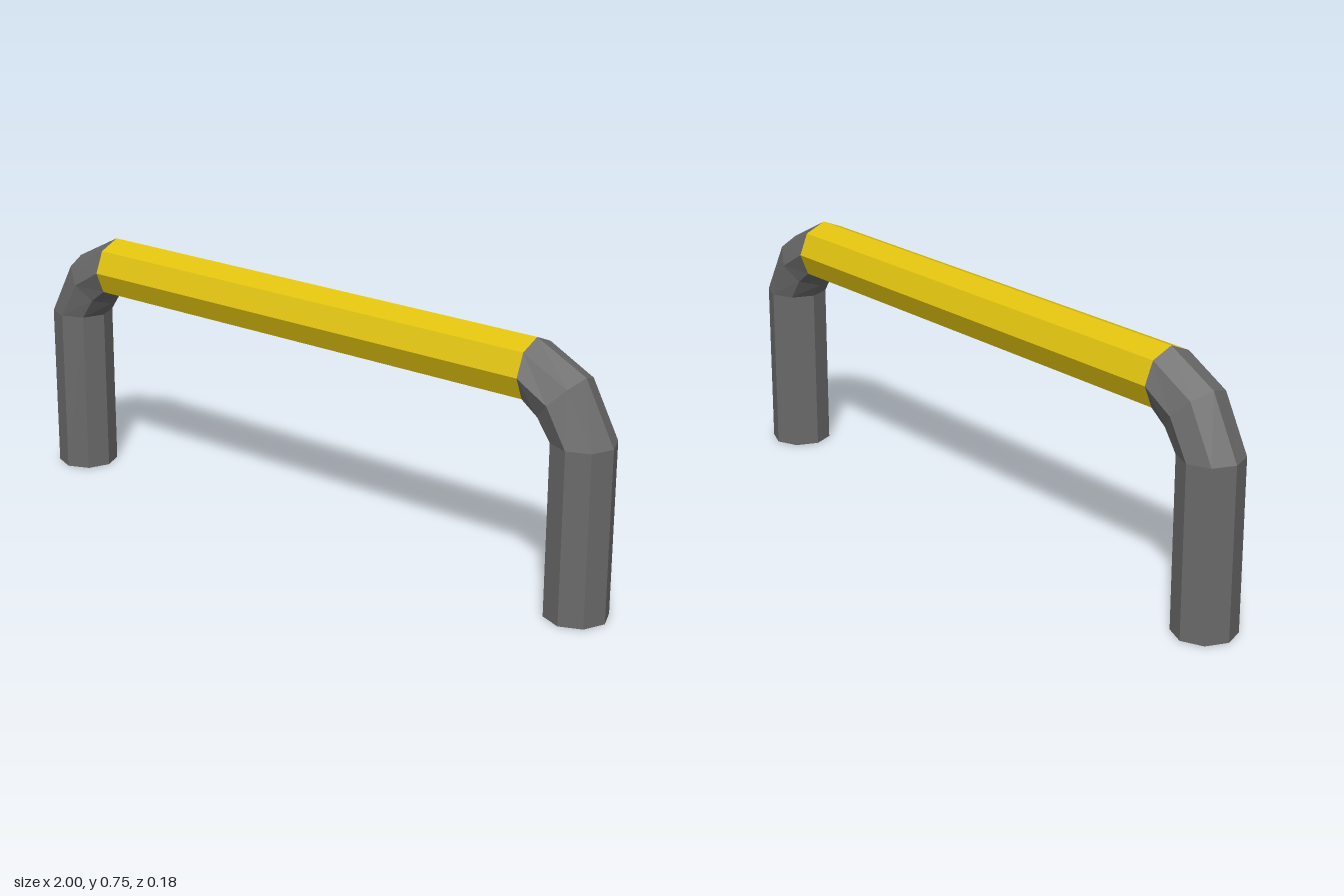
import * as THREE from 'three';

const RADIUS = 0.09;
const SIDES = 8;

// One octagonal ring: centre (x, y), with its outer edge pointing along the tilt angle
function ring(x, y, tiltDegrees) {
  const t = THREE.MathUtils.degToRad(tiltDegrees);
  return Array.from({ length: SIDES }, (_, i) => {
    const a = (i / SIDES) * Math.PI * 2;
    const out = RADIUS * Math.cos(a);
    return [x + out * Math.cos(t), y + out * Math.sin(t), RADIUS * Math.sin(a)];
  });
}

// Skin a row of rings, optionally closing the first or last one
function loft(rings, capStart, capEnd) {
  const positions = rings.flat(2);
  const index = [];
  for (let r = 0; r < rings.length - 1; r++) {
    for (let i = 0; i < SIDES; i++) {
      const a = r * SIDES + i;
      const b = r * SIDES + ((i + 1) % SIDES);
      index.push(a, a + SIDES, b, b, a + SIDES, b + SIDES);
    }
  }
  const last = (rings.length - 1) * SIDES;
  for (let i = 1; i < SIDES - 1; i++) {
    if (capStart) index.push(0, i, i + 1);
    if (capEnd) index.push(last, last + i + 1, last + i);
  }
  const geometry = new THREE.BufferGeometry();
  geometry.setAttribute('position', new THREE.Float32BufferAttribute(positions, 3));
  geometry.setIndex(index);
  const flat = geometry.toNonIndexed();
  flat.computeVertexNormals();
  return flat;
}

export function createModel() {
  const group = new THREE.Group();
  group.name = 'barHandle';

  const grey = new THREE.MeshStandardMaterial({ color: 0x6a6a6a, flatShading: true });
  grey.name = 'dark grey';
  const yellow = new THREE.MeshStandardMaterial({ color: 0xe0c20e, flatShading: true });
  yellow.name = 'yellow';

  // Foot, top of the straight leg, middle of the bend, end of the bar
  const profile = [[0.91, 0, 0], [0.91, 0.493, 0], [0.848, 0.601, 47], [0.755, 0.656, 90]];
  const mirrored = profile.map(([x, y, t]) => [-x, y, 180 - t]).reverse();
  const leftRings = profile.map((p) => ring(...p));
  const rightRings = mirrored.map((p) => ring(...p));

  const add = (name, geometry, material) => {
    const mesh = new THREE.Mesh(geometry, material);
    mesh.name = name;
    group.add(mesh);
  };

  // Bent legs with closed feet, and the straight grip between them
  add('leftLeg', loft(leftRings, true, false), grey);
  add('rightLeg', loft(rightRings, false, true), grey);
  add('gripBar', loft([leftRings[3], rightRings[0]], false, false), yellow);

  return group;
}
